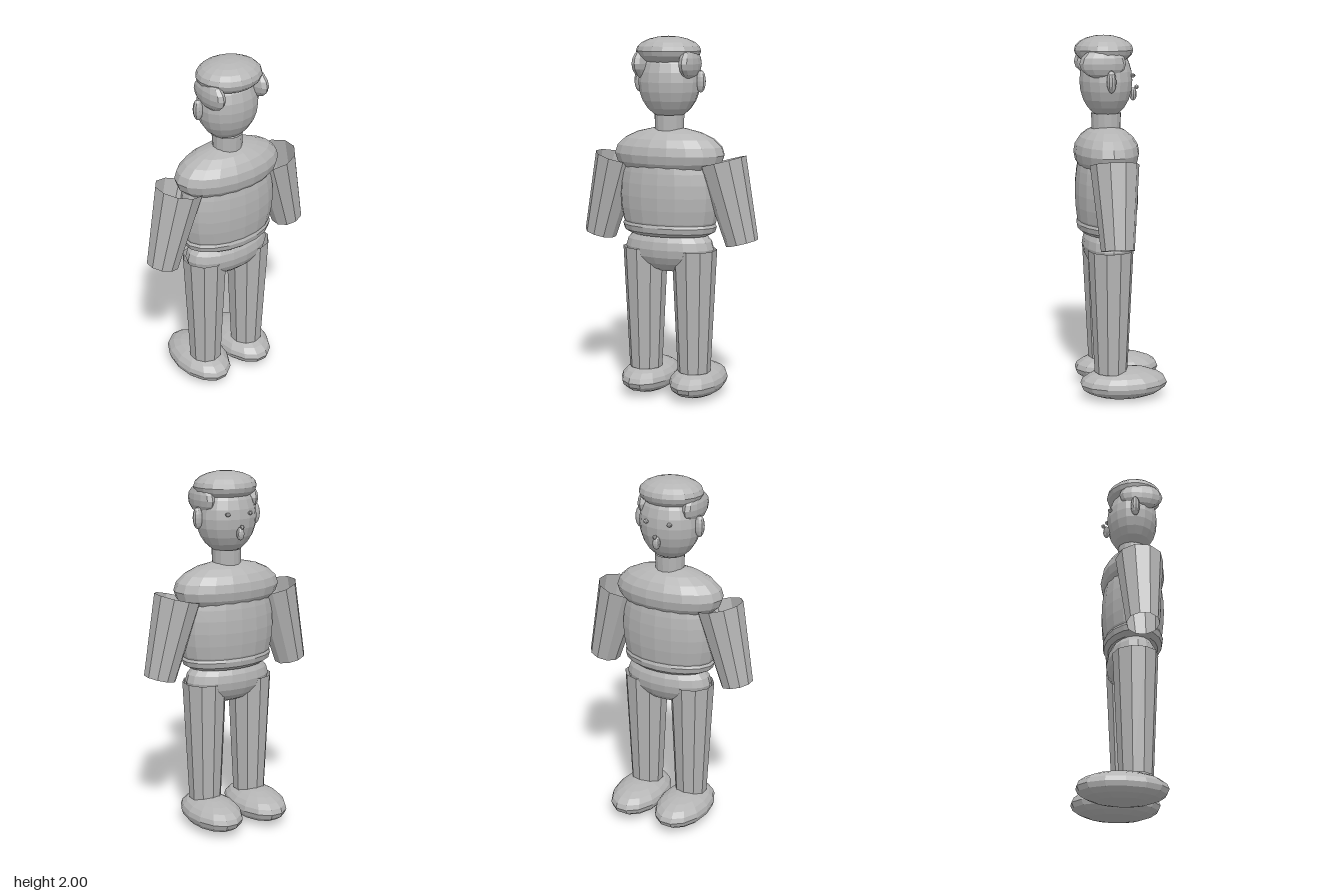
import * as THREE from 'three';

export function createModel() {
  const root = new THREE.Group();
  const grey = new THREE.MeshStandardMaterial({ color: 0xb4b4b4, flatShading: true });
  grey.name = 'plain grey';
  const greyOpen = grey.clone();
  greyOpen.name = 'plain grey';
  greyOpen.side = THREE.DoubleSide;

  const add = (name, geo, pos, scale = [1, 1, 1], mat = grey) => {
    const m = new THREE.Mesh(geo, mat);
    m.name = name;
    m.position.set(...pos);
    m.scale.set(...scale);
    root.add(m);
    return m;
  };
  // Low-poly ellipsoid given by centre and radii
  const ball = (name, pos, radii, w = 16, h = 10) =>
    add(name, new THREE.SphereGeometry(1, w, h), pos, radii);
  // Lathe squashed front to back
  const turned = (name, pts, depth) =>
    add(name, new THREE.LatheGeometry(pts.map(p => new THREE.Vector2(...p)), 18), [0, 0, 0.07], [1, 1, depth]);

  // Trunk
  ball('hips', [0, 0.85, 0.065], [0.258, 0.138, 0.14], 18, 10);
  turned('waist', [[0, 0.925], [0.225, 0.925], [0.262, 0.945], [0.272, 0.975], [0.255, 1.0], [0, 1.02]], 0.61);
  turned('belly', [[0, 0.94], [0.24, 0.945], [0.268, 1.0], [0.282, 1.07], [0.287, 1.14],
    [0.283, 1.21], [0.272, 1.27], [0.256, 1.32], [0.2, 1.37], [0, 1.4]], 0.605);
  ball('shoulders', [0, 1.367, 0.07], [0.318, 0.145, 0.178], 18, 10);

  // Neck and head
  add('neck', new THREE.CylinderGeometry(0.082, 0.079, 0.1, 14, 1, true), [0, 1.53, 0.07], [1, 1, 1], greyOpen);
  ball('head', [0, 1.755, 0.07], [0.172, 0.2, 0.145], 16, 12);
  ball('hairTop', [0, 1.92, 0.083], [0.178, 0.08, 0.16], 18, 10);

  // Face
  ball('nose', [0, 1.68, -0.079], [0.022, 0.036, 0.02], 10, 8);
  ball('noseTip', [0, 1.718, -0.098], [0.012, 0.012, 0.012], 8, 6);

  for (const s of [-1, 1]) {
    const side = s > 0 ? 'left' : 'right';
    ball(side + 'Eye', [s * 0.07, 1.785, -0.066], [0.015, 0.011, 0.014], 8, 6);
    ball(side + 'Ear', [s * 0.18, 1.76, 0.065], [0.028, 0.06, 0.026], 10, 8);
    ball(side + 'SideHair', [s * 0.135, 1.853, 0.105], [0.047, 0.08, 0.125], 12, 8);

    // Tapered open sleeve, swung outward
    const arm = add(side + 'Arm', new THREE.CylinderGeometry(0.131, 0.089, 0.452, 10, 1, true),
      [s * 0.365, 1.118, 0.067], [1, 1, 1], greyOpen);
    arm.rotation.z = s * 0.26;

    // Tapered open leg and rounded foot
    add(side + 'Leg', new THREE.CylinderGeometry(0.125, 0.092, 0.69, 10, 1, true),
      [s * 0.146, 0.5, 0.065], [1, 1, 1], greyOpen);
    ball(side + 'Foot', [s * 0.146, 0.087, -0.006], [0.15, 0.087, 0.245], 14, 10);
  }
  return root;
}
